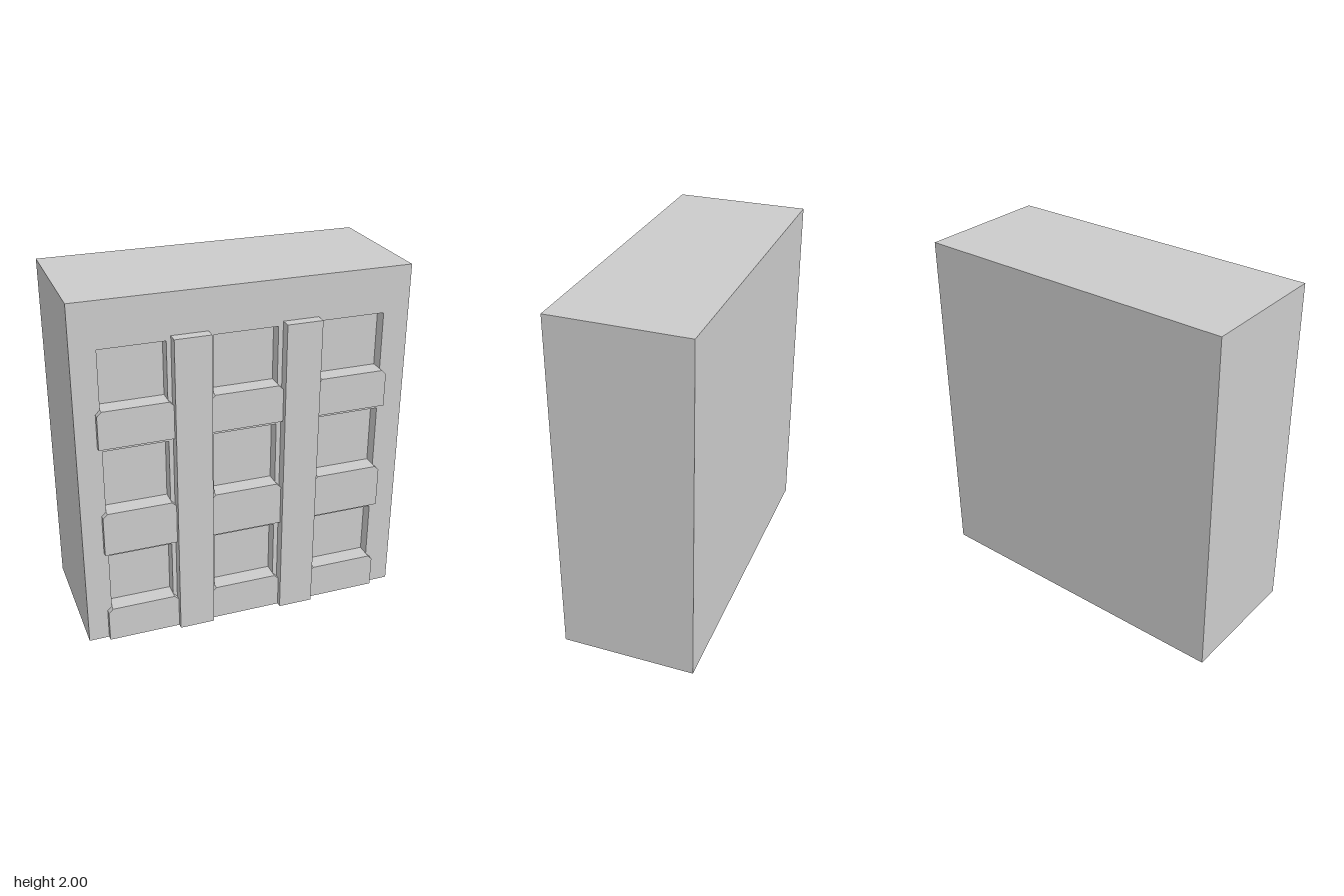
import * as THREE from 'three';

const material = new THREE.MeshStandardMaterial({ color: 0xcccccc, flatShading: true });

const HALF_W = 0.93, HEIGHT = 2;
const BACK = -0.41, GLASS = 0.28, FACADE = 0.35; // z planes of the block
const columns = [-0.613, -0.005, 0.603];         // window centres in x
const floors = [                                 // heights per storey
  { bottom: 0, ledge: 0.205, top: 0.54 },
  { bottom: 0.565, ledge: 0.82, top: 1.18 },
  { bottom: 1.205, ledge: 1.42, top: 1.745 },
];

function add(group, name, geometry, x = 0, y = 0, z = 0) {
  const mesh = new THREE.Mesh(geometry, material);
  mesh.name = name;
  mesh.position.set(x, y, z);
  group.add(mesh);
}

function polygon(points) {
  return new THREE.Shape(points.map(([x, y]) => new THREE.Vector2(x, y)));
}

function rectangle(x0, x1, y0, y1) {
  return polygon([[x0, y0], [x1, y0], [x1, y1], [x0, y1]]);
}

function extrude(shape, depth) {
  return new THREE.ExtrudeGeometry(shape, { depth, bevelEnabled: false });
}

export function createModel() {
  const building = new THREE.Group();
  building.name = 'building';

  // Main block, ending at the recessed window panes
  add(building, 'mainBlock', new THREE.BoxGeometry(2 * HALF_W, HEIGHT, GLASS - BACK),
    0, HEIGHT / 2, (GLASS + BACK) / 2);

  // Front wall with a window opening for each column and floor
  const wall = rectangle(-HALF_W, HALF_W, 0, HEIGHT);
  for (const x of columns) {
    for (const f of floors) wall.holes.push(rectangle(x - 0.179, x + 0.179, f.ledge, f.top));
  }
  add(building, 'frontWall', extrude(wall, FACADE - GLASS), 0, 0, GLASS);

  // Shallow balcony panels with clipped upper corners
  const w = 0.204, c = 0.025;
  for (const x of columns) {
    for (const f of floors) {
      const panel = polygon([
        [-w, f.bottom], [w, f.bottom], [w, f.ledge - c],
        [w - c, f.ledge], [-w + c, f.ledge], [-w, f.ledge - c],
      ]);
      add(building, 'balconyPanel', extrude(panel, 0.03), x, 0, FACADE);
    }
  }

  // Flat pilasters between the window columns
  for (const x of [-0.31, 0.3]) {
    add(building, 'pilaster', new THREE.BoxGeometry(0.2, 1.77, 0.06), x, 0.885, FACADE + 0.03);
  }

  return building;
}
